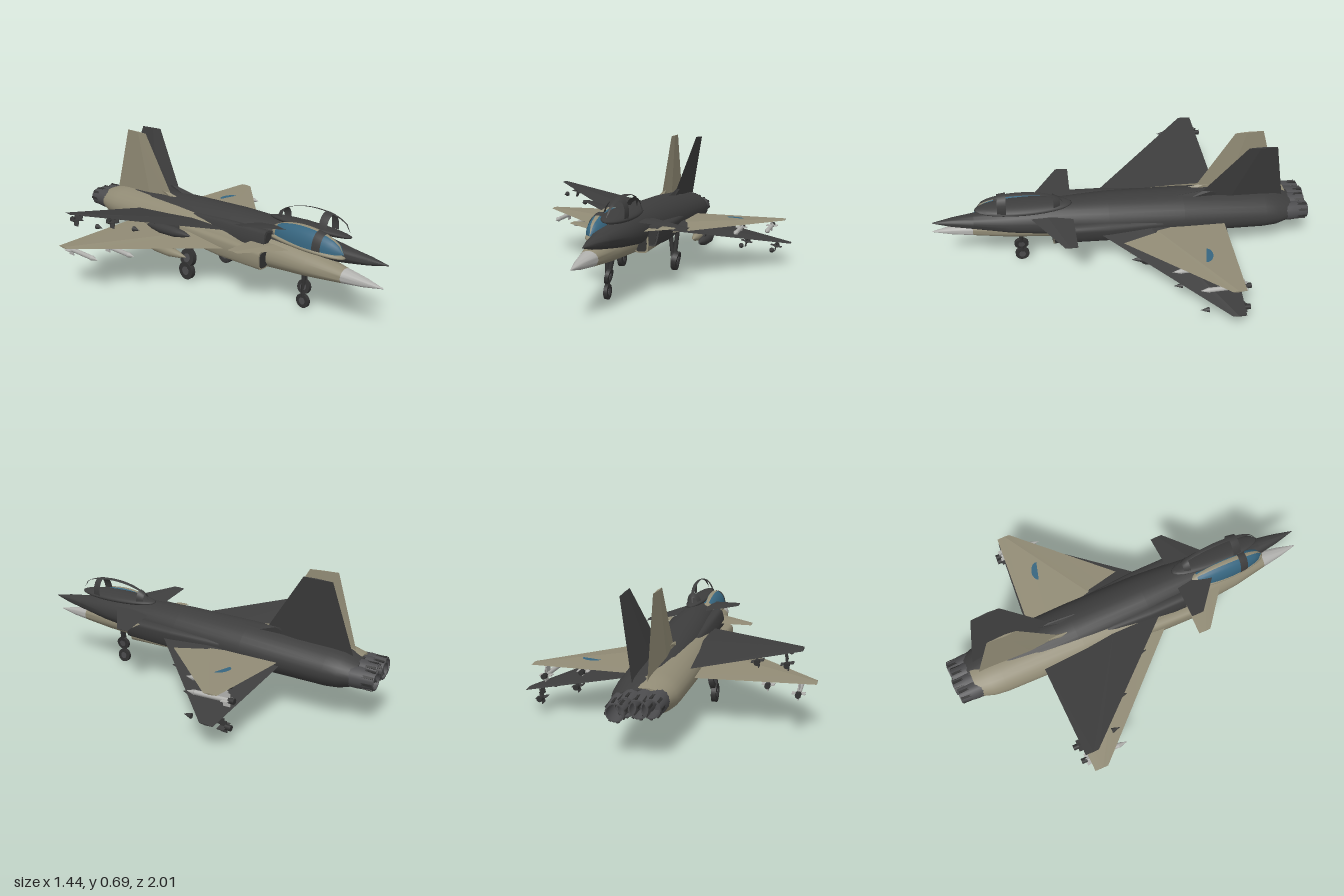
import * as THREE from 'three';
import { toCreasedNormals } from 'three/addons/utils/BufferGeometryUtils.js';

const mat = (name, color, side = THREE.FrontSide) => {
  const m = new THREE.MeshStandardMaterial({ color, side });
  m.name = name;
  return m;
};

// Skin closed rings of points, cap both ends and keep faces outward
function loft(rings, crease = 0.6) {
  const n = rings[0].length, pos = rings.flat(2), idx = [];
  for (let r = 0; r < rings.length - 1; r++) {
    for (let i = 0; i < n; i++) {
      const a = r * n + i, b = r * n + (i + 1) % n;
      idx.push(a, b, a + n, b, b + n, a + n);
    }
  }
  const last = (rings.length - 1) * n;
  for (let i = 1; i < n - 1; i++) idx.push(0, i + 1, i, last, last + i, last + i + 1);
  const v = i => new THREE.Vector3(pos[i * 3], pos[i * 3 + 1], pos[i * 3 + 2]);
  let volume = 0;
  for (let i = 0; i < idx.length; i += 3) volume += v(idx[i]).dot(v(idx[i + 1]).cross(v(idx[i + 2])));
  if (volume < 0) idx.reverse();
  const g = new THREE.BufferGeometry();
  g.setAttribute('position', new THREE.Float32BufferAttribute(pos, 3));
  g.setIndex(idx);
  return toCreasedNormals(g, crease);
}

// Body section: [z, half width, top, bottom]
const bodyRing = ([z, w, t, b]) => Array.from({ length: 28 }, (_, i) => {
  const a = i / 28 * Math.PI * 2, s = Math.sin(a);
  return [w * Math.cos(a), s > 0 ? t * s : -b * s, z];
});

// Diamond section of a wing or fin: thin at both edges
const foil = (lead, trail, half, place) => {
  const mid = lead + (trail - lead) * 0.4;
  return [place(0, lead), place(half, mid), place(0, trail), place(-half, mid)];
};

// Part of the canopy dome, a0..a1 measured across from the left sill
function domePatch(z0, z1, a0, a1, grow = 1) {
  const rows = 16, cols = 14, pos = [], idx = [];
  for (let r = 0; r <= rows; r++) {
    const z = z0 + (z1 - z0) * r / rows;
    const k = grow * Math.sqrt(Math.max(0.0004, 1 - ((z - 0.55) / 0.225) ** 2));
    for (let c = 0; c <= cols; c++) {
      const a = a0 + (a1 - a0) * c / cols;
      pos.push(0.058 * k * Math.cos(a), 0.1 + 0.088 * k * Math.sin(a), z);
      if (r < rows && c < cols) {
        const p = r * (cols + 1) + c, q = p + cols + 1;
        idx.push(p, p + 1, q, p + 1, q + 1, q);
      }
    }
  }
  const g = new THREE.BufferGeometry();
  g.setAttribute('position', new THREE.Float32BufferAttribute(pos, 3));
  g.setIndex(idx);
  g.computeVertexNormals();
  return g;
}

// Straight rod between two points
function rod(a, b, r) {
  const p = new THREE.Vector3(...a), q = new THREE.Vector3(...b), d = q.clone().sub(p);
  const g = new THREE.CylinderGeometry(r, r, d.length(), 10);
  g.applyQuaternion(new THREE.Quaternion().setFromUnitVectors(new THREE.Vector3(0, 1, 0), d.normalize()));
  const m = p.add(q).multiplyScalar(0.5);
  return g.translate(m.x, m.y, m.z);
}

function jet(name, c, glazed) {
  const jetGroup = new THREE.Group();
  jetGroup.name = name;
  const add = (n, geometry, material, x = 0, y = 0, z = 0, parent = jetGroup) => {
    const m = new THREE.Mesh(geometry, material);
    m.name = n;
    m.position.set(x, y, z);
    parent.add(m);
    return m;
  };

  // Nose and fuselage
  const joint = [0.79, 0.046, 0.038, -0.036];
  add('noseCone', loft([[1, 0.002, 0.002, -0.002], [0.9, 0.027, 0.022, -0.022], joint].map(bodyRing)), c.nose);
  add('fuselage', loft([joint, [0.6, 0.082, 0.072, -0.056], [0.4, 0.102, 0.098, -0.072],
    [0.1, 0.127, 0.11, -0.095], [-0.3, 0.135, 0.11, -0.103], [-0.75, 0.132, 0.092, -0.097],
    [-0.82, 0.125, 0.085, -0.088], [-0.9, 0.1, 0.06, -0.06]].map(bodyRing)), c.body);

  // Fin with a low fillet ahead of it
  const fin = (y, lead, trail, half) => foil(lead, trail, half, (t, z) => [t, y, z]);
  add('fin', loft([fin(0.06, -0.36, -0.86, 0.012), fin(0.44, -0.6, -0.75, 0.005)], 0.1), c.body);
  add('finFillet', loft([fin(0.095, -0.18, -0.55, 0.016), fin(0.135, -0.41, -0.5, 0.008)], 0.1), c.body);

  for (const s of [1, -1]) {
    // Delta wing and canard
    const wing = (x, y, lead, trail, half) => foil(lead, trail, half, (t, z) => [s * x, y + t, z]);
    add('wing', loft([wing(0.08, 0, 0.21, -0.53, 0.017), wing(0.7, 0, -0.43, -0.5, 0.004)], 0.1), c.body);
    add('canard', loft([wing(0.07, 0.068, 0.5, 0.285, 0.006), wing(0.27, 0.068, 0.345, 0.28, 0.002)], 0.1), c.body);

    // Side intake with a dark mouth
    const duct = (z, x0, x1, y0, y1) => Array.from({ length: 16 }, (_, i) => {
      const a = i / 16 * Math.PI * 2, p = t => Math.sign(t) * Math.sqrt(Math.abs(t));
      return [s * ((x0 + x1) / 2 + (x1 - x0) / 2 * p(Math.cos(a))), (y0 + y1) / 2 + (y1 - y0) / 2 * p(Math.sin(a)), z];
    });
    add('intake', loft([duct(0.38, 0.08, 0.152, -0.052, 0.045), duct(0.1, 0.06, 0.15, -0.06, 0.05),
      duct(-0.35, 0.04, 0.12, -0.05, 0.04)]), c.body);
    add('intakeMouth', loft([duct(0.383, 0.088, 0.144, -0.044, 0.037), duct(0.379, 0.088, 0.144, -0.044, 0.037)]), c.rubber);

    // Engine nozzle: hollow shell with petal ribs
    const nozzle = new THREE.LatheGeometry([[0.054, 0], [0.053, 0.07], [0.044, 0.15], [0.038, 0.15], [0.034, 0.06], [0.001, 0.06]]
      .map(p => new THREE.Vector2(...p)), 16);
    add('nozzle', toCreasedNormals(nozzle.rotateX(-Math.PI / 2), 0.5), c.metal, s * 0.053, 0, -0.845);
    for (let i = 0; i < 8; i++) {
      const a = i / 8 * Math.PI * 2;
      const rib = add('nozzlePetal', new THREE.BoxGeometry(0.007, 0.012, 0.1), c.rubber,
        s * 0.053 + 0.046 * Math.cos(a), 0.046 * Math.sin(a), -0.94);
      rib.rotation.z = a;
    }

    // Main gear
    add('mainStrut', rod([s * 0.125, -0.04, -0.125], [s * 0.143, -0.2, -0.125], 0.012), c.rubber);
    add('mainWheel', new THREE.CylinderGeometry(0.049, 0.049, 0.026, 24).rotateZ(Math.PI / 2), c.rubber, s * 0.152, -0.2, -0.125);
    add('mainHub', new THREE.CylinderGeometry(0.024, 0.024, 0.03, 16).rotateZ(Math.PI / 2), c.metal, s * 0.152, -0.2, -0.125);

    // Drop tank on its pylon
    add('dropTank', new THREE.LatheGeometry([[0.001, -0.17], [0.016, -0.12], [0.027, -0.05], [0.027, 0.05], [0.016, 0.12], [0.001, 0.17]]
      .map(p => new THREE.Vector2(...p)), 16).rotateX(Math.PI / 2), c.body, s * 0.28, -0.05, -0.17);
    add('tankPylon', new THREE.BoxGeometry(0.008, 0.035, 0.16), c.body, s * 0.28, -0.014, -0.17);

    // Missiles: nose, body, rear fins and tail
    for (const [x, z] of [[0.465, -0.31], [0.62, -0.415]]) {
      const missile = new THREE.Group();
      missile.name = 'missile';
      missile.position.set(s * x, -0.045, z);
      jetGroup.add(missile);
      const part = (n, g, m, dz) => add(n, g.rotateX(Math.PI / 2), m, 0, 0, dz, missile);
      part('missileNose', new THREE.ConeGeometry(0.014, 0.045, 12), c.missile, 0.103);
      if (glazed) part('missileBody', new THREE.CylinderGeometry(0.012, 0.012, 0.2, 12), c.missile, -0.02);
      part('missileTail', new THREE.CylinderGeometry(0.014, 0.014, 0.03, 12), c.rubber, -0.115);
      for (const a of [0, Math.PI / 2]) {
        add('missileFins', new THREE.BoxGeometry(0.062, 0.004, 0.035), c.missile, 0, 0, -0.09, missile).rotation.z = a;
      }
      add('missilePylon', new THREE.BoxGeometry(0.006, 0.035, 0.05), c.missile, 0, 0.025, -0.07, missile);
    }
  }

  // Nose gear
  add('noseStrut', rod([0, -0.04, 0.545], [0, -0.2, 0.545], 0.011), c.rubber);
  add('noseWheel', new THREE.CylinderGeometry(0.037, 0.037, 0.018, 24).rotateZ(Math.PI / 2), c.rubber, 0, -0.21, 0.545);
  add('noseHub', new THREE.CylinderGeometry(0.018, 0.018, 0.022, 16).rotateZ(Math.PI / 2), c.metal, 0, -0.21, 0.545);

  // Canopy: sill, frame strips and glass
  const sill = add('canopySill', new THREE.SphereGeometry(1, 28, 14), c.body, 0, 0.094, 0.535);
  sill.scale.set(0.063, 0.022, 0.25);
  sill.rotation.x = 0.04;
  const mid = Math.PI / 2;
  if (glazed) add('canopyGlass', domePatch(0.325, 0.775, 0, Math.PI), c.glass);
  add('canopySpine', domePatch(0.325, 0.775, mid - 0.2, mid + 0.2, 1.03), c.frame);
  add('windscreenArch', domePatch(0.625, 0.67, 0, Math.PI, 1.04), c.arch);
  add('rearArch', domePatch(0.35, 0.385, 0, Math.PI, 1.04), c.frame);
  return jetGroup;
}

export function createModel() {
  const D = THREE.DoubleSide;
  const tan = mat('tan', 0x918b75), dark = mat('charcoal', 0x3d3d3d), rubber = mat('rubber', 0x323232);
  const metal = mat('gunmetal', 0x4c4c4e), pale = mat('paleGrey', 0xb0b0ad), glass = mat('blueGlass', 0x36657f, D);
  const tanFrame = mat('tanFrame', 0x918b75, D), darkFrame = mat('charcoalFrame', 0x3d3d3d, D);

  const model = new THREE.Group();
  model.name = 'jetPair';

  // Level tan jet
  const tanJet = jet('tanJet', { body: tan, nose: pale, missile: pale, rubber, metal, glass, frame: tanFrame, arch: darkFrame }, true);
  tanJet.position.set(-0.02, 0.25, 0);
  const patch = new THREE.Mesh(new THREE.CircleGeometry(0.052, 20, 0, Math.PI).scale(1, 0.65, 1).rotateX(-Math.PI / 2), glass);
  patch.name = 'wingPatch';
  patch.position.set(0.43, 0.012, -0.365);
  patch.rotation.y = -0.25;
  tanJet.add(patch);

  // Banked charcoal jet, nose slightly raised
  const darkJet = jet('darkJet', { body: dark, nose: dark, missile: dark, rubber, metal, glass, frame: darkFrame, arch: darkFrame }, false);
  darkJet.position.set(0.03, 0.29, -0.01);
  darkJet.rotation.set(-0.055, 0, -0.211);

  model.add(tanJet, darkJet);
  return model;
}
